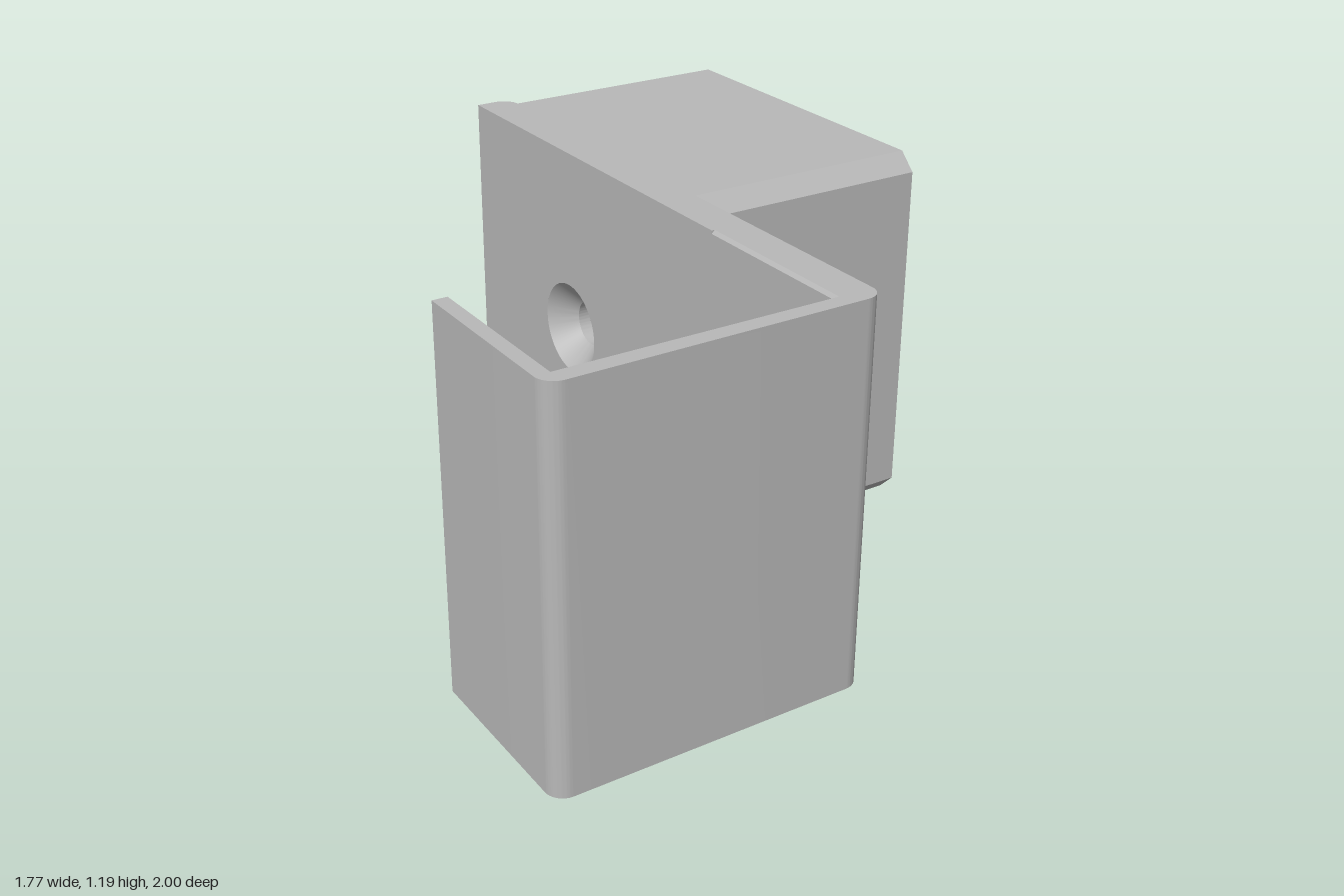
import * as THREE from 'three';
import { toCreasedNormals } from 'three/addons/utils/BufferGeometryUtils.js';

const H = 1.19;            // overall height
const R = 0.055;           // outer rounding and block chamfer
const C = 0.01;            // small chamfer on the clip's inner edges
const X0 = -0.01, X1 = 0.11; // faces of the central plate
const HOLE_Y = 0.595, HOLE_Z = -0.405;

const material = new THREE.MeshStandardMaterial({ color: 0xb8b8b8, side: THREE.DoubleSide });
material.name = 'grey plastic';

function mesh(name, geometry) {
  const m = new THREE.Mesh(toCreasedNormals(geometry, 0.5), material);
  m.name = name;
  return m;
}

// Outline in (x, z), extruded up to full height
function extrudeUp(shape, steps = 1) {
  return new THREE.ExtrudeGeometry(shape, { depth: H, steps, bevelEnabled: false, curveSegments: 10 })
    .rotateX(Math.PI / 2).translate(0, H, 0);
}

// Outline of [z, y] points with a round hole, extruded from x = a to x = b
function extrudeAcross(points, holeRadius, a, b) {
  const shape = new THREE.Shape(points.map(([z, y]) => new THREE.Vector2(-z, y)));
  const hole = new THREE.Path();
  hole.absarc(-HOLE_Z, HOLE_Y, holeRadius, 0, Math.PI * 2, true);
  shape.holes.push(hole);
  return new THREE.ExtrudeGeometry(shape, { depth: b - a, bevelEnabled: false, curveSegments: 64 })
    .rotateY(Math.PI / 2).translate(a, 0, 0);
}

// J-shaped clip with rounded outer corners and chamfered inner edges
function clipGeometry() {
  const left = -0.885, innerLeft = -0.83, innerFront = 0.94;
  const s = new THREE.Shape();
  s.moveTo(X1, 0.39);
  s.lineTo(X1, 1 - R);
  s.absarc(X1 - R, 1 - R, R, 0, Math.PI / 2, false);
  s.lineTo(left + R, 1);
  s.absarc(left + R, 1 - R, R, Math.PI / 2, Math.PI, false);
  s.lineTo(left, 0.42);
  s.lineTo(innerLeft, 0.42);
  s.lineTo(innerLeft, innerFront);
  s.lineTo(X0, innerFront);
  s.lineTo(X0, 0.39);
  const g = extrudeUp(s, 3);
  const p = g.attributes.position;
  const e = 1e-4;
  for (let i = 0; i < p.count; i++) {
    const x = p.getX(i), y = p.getY(i), z = p.getZ(i);
    if (y > e && y < H - e) {
      p.setY(i, y < H / 2 ? C : H - C);
    } else if (x > innerLeft - e && x < X0 + e && z < innerFront + e) {
      // widen the opening at the top and bottom rims
      p.setX(i, x < -0.4 ? x - C : x + C);
      if (z > innerFront - e) p.setZ(i, z + C);
    }
  }
  return g;
}

export function createModel() {
  const group = new THREE.Group();
  group.name = 'clipHolder';

  group.add(mesh('clip', clipGeometry()));

  // Central plate: wide countersink layer, then narrow screw hole layer
  const plate = [[0.39, 0], [0.39, H], [-1 + R, H], [-1 + R, 0]];
  const sinkEnd = 0.065;
  group.add(mesh('plateOuterLayer', extrudeAcross(plate, 0.15, X0, sinkEnd)));
  group.add(mesh('plateInnerLayer', extrudeAcross(plate, 0.073, sinkEnd, X1)));
  const cone = new THREE.CylinderGeometry(0.15, 0.073, sinkEnd - X0, 64, 1, true)
    .rotateZ(Math.PI / 2).translate((X0 + sinkEnd) / 2, HOLE_Y, HOLE_Z);
  group.add(mesh('countersink', cone));

  // Rear end of the plate, rounded on its outer corner
  const s = new THREE.Shape();
  s.moveTo(X0, -1);
  s.lineTo(X1 - R, -1);
  s.absarc(X1 - R, -1 + R, R, -Math.PI / 2, 0, false);
  s.lineTo(X0, -1 + R);
  group.add(mesh('plateRearEdge', extrudeUp(s)));

  // Chamfered block with a large bore
  const f = 0.185, b = -1;
  const outline = [
    [f, R], [f, H - R], [f - R, H], [b + R, H],
    [b, H - R], [b, R], [b + R, 0], [f - R, 0],
  ];
  group.add(mesh('boredBlock', extrudeAcross(outline, 0.52, X1 - R, 0.885)));

  return group;
}
